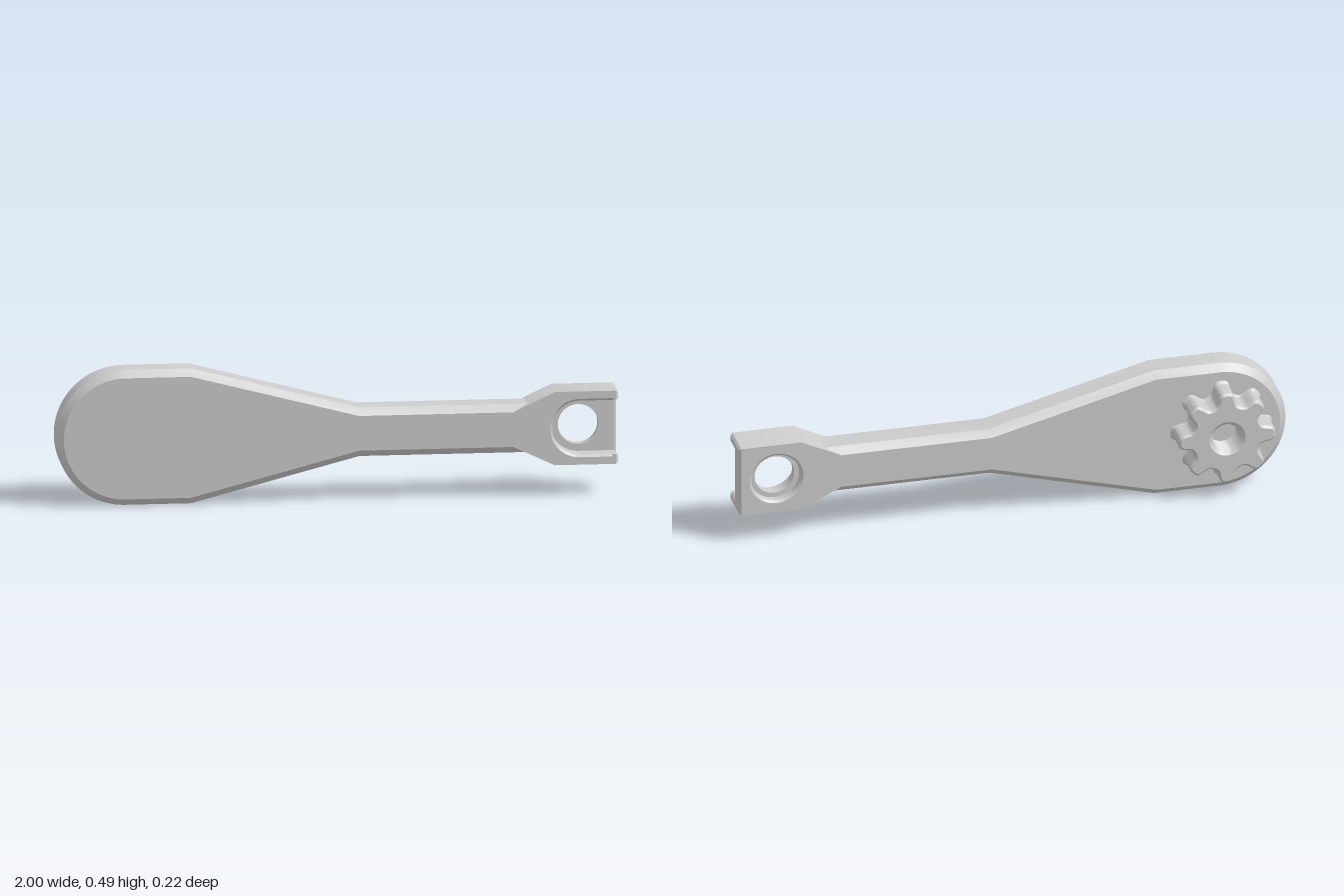
import * as THREE from 'three';
import { toCreasedNormals } from 'three/addons/utils/BufferGeometryUtils.js';

const BACK = -0.02, FRONT = 0.112;          // thickness of the handle
const KNOB_X = -0.76, EYE_X = 0.863;        // knob and eye centres
const SLOT = 0.098, HEAD_END = 0.99;        // slot half width, end of head layers

const mat = new THREE.MeshStandardMaterial({ color: 0xcccccc });
const matDouble = new THREE.MeshStandardMaterial({ color: 0xcccccc, side: THREE.DoubleSide });

function mesh(name, geometry, material = mat) {
  const m = new THREE.Mesh(toCreasedNormals(geometry, 0.5), material);
  m.name = name;
  return m;
}

// Straight slab of a shape between two depths
function slab(shape, z0, z1) {
  return new THREE.ExtrudeGeometry(shape, { depth: z1 - z0, bevelEnabled: false, curveSegments: 40 }).translate(0, 0, z0);
}

// Slab with chamfered edges, kept inside the drawn outline
function chamfered(shape, z0, z1, c) {
  return new THREE.ExtrudeGeometry(shape, {
    depth: z1 - z0 - 2 * c, bevelThickness: c, bevelSize: c, bevelOffset: -c, bevelSegments: 1, curveSegments: 32,
  }).translate(0, 0, z0 + c);
}

// Push the rim of an eye or slot outwards at one depth, making a chamfer
function flareRim(geo, z, radius, amount, open) {
  const p = geo.attributes.position;
  for (let i = 0; i < p.count; i++) {
    if (Math.abs(p.getZ(i) - z) > 1e-4) continue;
    const x = p.getX(i), y = p.getY(i);
    const dx = open ? Math.min(x - EYE_X, 0) : x - EYE_X;
    const d = Math.hypot(dx, y);
    if (Math.abs(d - radius) < 1e-3) p.setXY(i, x + dx / d * amount, y + y / d * amount);
  }
  return geo;
}

// Head outline with a round hole
function headShape(holeRadius) {
  const s = new THREE.Shape([
    [0.63, -0.065], [0.773, -0.133], [HEAD_END, -0.133], [HEAD_END, 0.133], [0.773, 0.133], [0.63, 0.065],
  ].map(([x, y]) => new THREE.Vector2(x, y)));
  s.holes.push(new THREE.Path().absarc(EYE_X, 0, holeRadius, 0, Math.PI * 2, true));
  return s;
}

// Head outline with the U-shaped slot open to the end
function slotShape() {
  const s = new THREE.Shape();
  s.moveTo(0.63, -0.065);
  s.lineTo(0.773, -0.133);
  s.lineTo(HEAD_END, -0.133);
  s.lineTo(HEAD_END, -SLOT);
  s.lineTo(EYE_X, -SLOT);
  s.absarc(EYE_X, 0, SLOT, -Math.PI / 2, Math.PI / 2, true);
  s.lineTo(HEAD_END, SLOT);
  s.lineTo(HEAD_END, 0.133);
  s.lineTo(0.773, 0.133);
  s.lineTo(0.63, 0.065);
  return s;
}

function makeHandle() {
  const s = new THREE.Shape();
  s.moveTo(0.7, -0.088);
  s.lineTo(0.7, 0.088);
  s.lineTo(0.08, 0.088);
  s.lineTo(-0.52, 0.245);
  s.lineTo(-0.755, 0.245);
  s.absarc(-0.755, 0, 0.245, Math.PI / 2, Math.PI * 1.5, false);
  s.lineTo(-0.52, -0.245);
  s.lineTo(0.08, -0.088);
  return mesh('handle', chamfered(s, BACK, FRONT, 0.025));
}

function makeHead() {
  const g = new THREE.Group();
  g.name = 'head';
  const bore = 0.09, c = 0.008, web = 0.012, floor = 0.045;
  g.add(
    mesh('boreRim', flareRim(slab(headShape(bore), BACK, BACK + c), BACK, bore, c, false)),
    mesh('boreWall', slab(headShape(bore), BACK + c, web)),
    mesh('eyeWeb', slab(headShape(0.072), web, floor)),
    mesh('slotWall', slab(slotShape(), floor, FRONT - c)),
    mesh('slotRim', flareRim(slab(slotShape(), FRONT - c, FRONT), FRONT, SLOT, c, true)),
  );
  // Chamfered channel profile closing the end
  const profile = new THREE.Shape([
    [BACK, -0.133], [FRONT, -0.133], [FRONT, -SLOT], [floor, -SLOT],
    [floor, SLOT], [FRONT, SLOT], [FRONT, 0.133], [BACK, 0.133],
  ].map(([z, y]) => new THREE.Vector2(-z, y)));
  g.add(mesh('endLip', chamfered(profile, 0.974, 1, c).rotateY(Math.PI / 2)));
  return g;
}

function makeKnob() {
  const g = new THREE.Group();
  g.name = 'knob';
  g.position.x = KNOB_X;
  const lobes = 8, n = 192, hole = 0.058, tip = -0.111, foot = -0.03;
  const pts = [];
  for (let i = 0; i < n; i++) {
    const a = i / n * Math.PI * 2;
    const r = 0.153 + 0.024 * Math.tanh(2 * Math.cos(lobes * a)) / Math.tanh(2);
    pts.push(new THREE.Vector2(r * Math.cos(a), r * Math.sin(a)));
  }
  const star = new THREE.Shape(pts);
  star.holes.push(new THREE.Path().absarc(0, 0, hole, 0, Math.PI * 2, true));
  g.add(mesh('lobedGrip', chamfered(star, tip, BACK + 0.005, 0.008)));

  // Flared foot where the grip meets the handle
  const footGeo = slab(star, foot, BACK);
  const p = footGeo.attributes.position;
  for (let i = 0; i < p.count; i++) {
    const x = p.getX(i), y = p.getY(i);
    if (p.getZ(i) > foot + 1e-4 && Math.hypot(x, y) > 0.1) p.setXY(i, x * 1.05, y * 1.05);
  }
  g.add(mesh('gripFoot', footGeo));

  // Threaded bore, as ridged rings
  const ridges = [];
  const turns = 5;
  for (let i = 0; i <= turns * 2; i++) {
    ridges.push(new THREE.Vector2(i % 2 ? 0.05 : hole, tip + 0.008 + i / (turns * 2) * (BACK - tip - 0.008)));
  }
  g.add(mesh('thread', new THREE.LatheGeometry(ridges, 40).rotateX(Math.PI / 2), matDouble));
  return g;
}

export function createModel() {
  const model = new THREE.Group();
  model.name = 'crankHandle';
  const body = new THREE.Group();
  body.name = 'body';
  body.position.y = 0.245;
  body.add(makeHandle(), makeHead(), makeKnob());
  model.add(body);
  return model;
}
